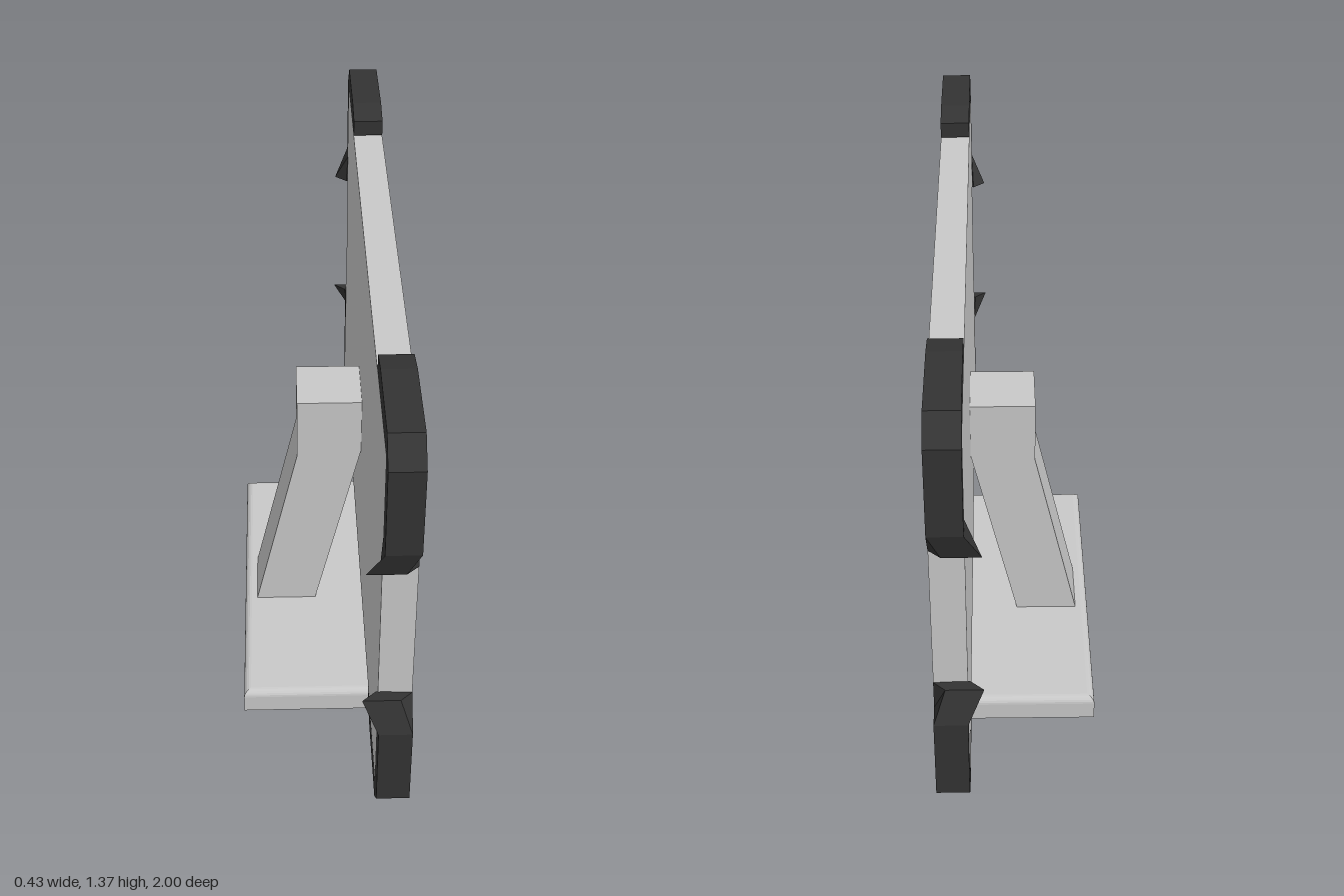
import * as THREE from 'three';

// Lofts four-cornered rings into a closed, flat-shaded solid
function loft(rings) {
  const pos = [];
  const tri = (...pts) => pts.forEach((p) => pos.push(...p));
  const quad = (a, b, c, d) => { tri(a, b, c); tri(a, c, d); };
  for (let i = 0; i < rings.length - 1; i++) {
    for (let j = 0; j < 4; j++) {
      const k = (j + 1) % 4;
      quad(rings[i][j], rings[i][k], rings[i + 1][k], rings[i + 1][j]);
    }
  }
  quad(...[...rings[0]].reverse());
  quad(...rings[rings.length - 1]);
  const geo = new THREE.BufferGeometry();
  geo.setAttribute('position', new THREE.Float32BufferAttribute(pos, 3));
  geo.computeVertexNormals();
  return geo;
}

function rectangle(Type, z, y0, y1) {
  const s = new Type();
  s.moveTo(-z, y0);
  s.lineTo(z, y0);
  s.lineTo(z, y1);
  s.lineTo(-z, y1);
  s.closePath();
  return s;
}

export function createModel() {
  const model = new THREE.Group();
  model.name = 'monitor';
  const material = (name, color) => new THREE.MeshStandardMaterial({ name, color });
  const grey = material('lightGrey', 0xc8c8c8);
  const dark = material('darkRubber', 0x333333);
  const pink = material('screenMagenta', 0xcb50c0);
  const add = (name, geo, mat) => {
    const mesh = new THREE.Mesh(geo, mat);
    mesh.name = name;
    model.add(mesh);
    return mesh;
  };

  const back = 0.13, front = 0.215, midY = 0.7725;

  // Bezel frame with the opening for the display
  const frame = rectangle(THREE.Shape, 0.937, 0.247, 1.298);
  frame.holes.push(rectangle(THREE.Path, 0.887, 0.27, 1.275));
  const frameGeo = new THREE.ExtrudeGeometry(frame, { depth: front - back, bevelEnabled: false });
  frameGeo.rotateY(Math.PI / 2).translate(back, 0, 0);
  add('bezelFrame', frameGeo, grey);

  // Back panel filling the opening, and the recessed display on it
  add('backPanel', new THREE.BoxGeometry(0.06, 1.005, 1.774), grey).position.set(back + 0.03, midY, 0);
  add('screen', new THREE.BoxGeometry(0.006, 1.005, 1.774), pink).position.set(back + 0.063, midY, 0);

  // Bent stand column
  const column = new THREE.Shape([
    [-0.184, 0.06], [-0.005, 0.06], [0.13, 0.645], [0.13, 0.815], [-0.054, 0.815], [-0.054, 0.63],
  ].map(([x, y]) => new THREE.Vector2(x, y)));
  const columnGeo = new THREE.ExtrudeGeometry(column, { depth: 0.182, bevelEnabled: false });
  add('standColumn', columnGeo.translate(0, 0, -0.111), grey);

  // Foot plate with rounded upper edges
  const baseRing = (y, inset) => {
    const x0 = -0.218 + inset, x1 = 0.214 - inset, z0 = -0.507 + inset, z1 = 0.469 - inset;
    return [[x0, y, z1], [x1, y, z1], [x1, y, z0], [x0, y, z0]];
  };
  const baseRings = [baseRing(0, 0)];
  const r = 0.02, steps = 5;
  for (let i = 0; i <= steps; i++) {
    const a = (i / steps) * Math.PI / 2;
    baseRings.push(baseRing(0.074 - r + r * Math.sin(a), r * (1 - Math.cos(a))));
  }
  add('footPlate', loft(baseRings), grey);

  // Corner guards: a hooked tail, a chamfered corner and a tapered end
  const section = (oz, oy, iz, iy) => [[back, oy, oz], [front, oy, oz], [front, iy, iz], [back, iy, iz]];
  const guard = [
    [[0.09, 0.98, 0.967], [0.185, 0.98, 0.967], [front, 0.98, 0.94], [0.125, 0.98, 0.936]],
    section(1, 1.067, 0.937, 1.067),
    section(1, 1.305, 0.937, 1.302),
    section(0.94, 1.366, 0.937, 1.302),
    section(0.7, 1.366, 0.7, 1.302),
    section(0.613, 1.347, 0.613, 1.302),
  ];
  for (const up of [1, -1]) {
    for (const side of [1, -1]) {
      const rings = guard.map((ring) => {
        const moved = ring.map(([x, y, z]) => [x, midY + (y - midY) * up, z * side]);
        return up * side < 0 ? moved.reverse() : moved;
      });
      add(`${up > 0 ? 'upper' : 'lower'}${side > 0 ? 'Front' : 'Back'}CornerGuard`, loft(rings), dark);
    }
  }
  return model;
}
